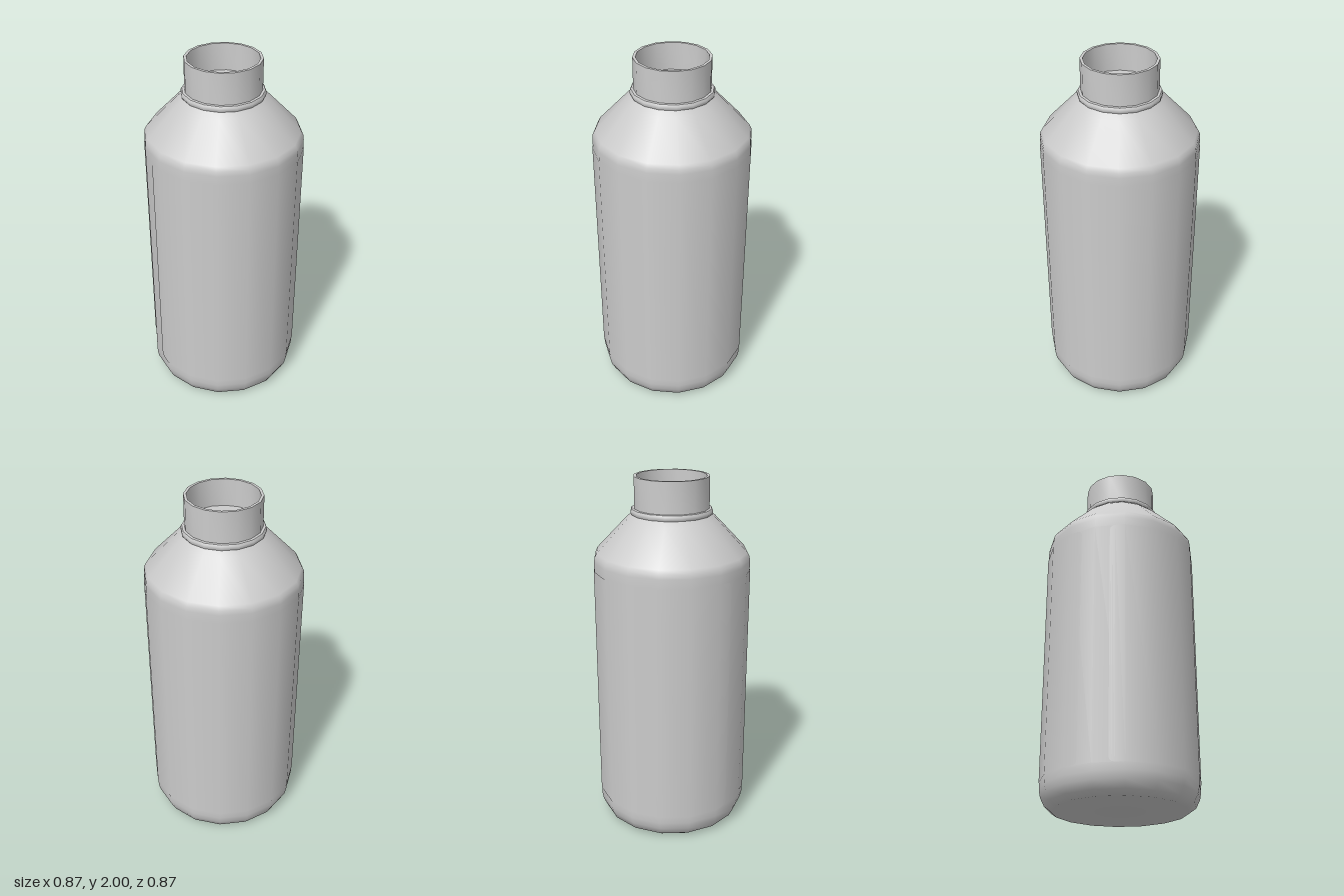
import * as THREE from 'three';
import { toCreasedNormals } from 'three/addons/utils/BufferGeometryUtils.js';

const SIDES = 16;
const STEP = (Math.PI * 2) / SIDES;
const RADIUS = 0.43;
const material = new THREE.MeshStandardMaterial({ color: 0xcccccc });
const labelMaterial = new THREE.MeshStandardMaterial({ color: 0xcccccc, side: THREE.DoubleSide });

// Sixteen-sided turned part from [radius, height] pairs, listed bottom to top outside
function turned(name, profile) {
  const points = profile.map(([r, y]) => new THREE.Vector2(r, y));
  const geometry = toCreasedNormals(new THREE.LatheGeometry(points, SIDES), 0.75);
  const mesh = new THREE.Mesh(geometry, material);
  mesh.name = name;
  return mesh;
}

// Thin sleeve lying on the body's facets, with a vertical gap and rounded corners
function wrapLabel() {
  const r = RADIUS + 0.003, bottom = 0.15, top = 1.5, corner = 0.03;
  const start = STEP * 11.5, end = start + STEP * (SIDES - 1);
  const columns = [];
  const arc = [0, 0.15, 0.5, 1];
  arc.forEach((t) => columns.push([start + (t * corner) / r, t]));
  for (let i = 12; i <= 26; i++) columns.push([i * STEP, 1]);
  arc.slice().reverse().forEach((t) => columns.push([end - (t * corner) / r, t]));

  const positions = [], normals = [], index = [];
  columns.forEach(([angle, t], i) => {
    const inset = corner * (1 - Math.sqrt(1 - (1 - t) ** 2));
    const local = angle - Math.floor(angle / STEP + 1e-6) * STEP - STEP / 2;
    const d = (r * Math.cos(STEP / 2)) / Math.cos(local);
    const s = Math.sin(angle), c = Math.cos(angle);
    positions.push(d * s, bottom + inset, d * c, d * s, top - inset, d * c);
    normals.push(s, 0, c, s, 0, c);
    const a = i * 2;
    if (i < columns.length - 1) index.push(a, a + 2, a + 1, a + 2, a + 3, a + 1);
  });
  const geometry = new THREE.BufferGeometry();
  geometry.setAttribute('position', new THREE.Float32BufferAttribute(positions, 3));
  geometry.setAttribute('normal', new THREE.Float32BufferAttribute(normals, 3));
  geometry.setIndex(index);
  const mesh = new THREE.Mesh(geometry, labelMaterial);
  mesh.name = 'label';
  return mesh;
}

export function createModel() {
  const bottle = new THREE.Group();
  bottle.name = 'bottle';

  // Base, wall and sloping shoulder
  bottle.add(turned('body', [
    [0, 0], [0.365, 0], [0.4, 0.025], [0.422, 0.07], [RADIUS, 0.11],
    [RADIUS, 0.15], [RADIUS, 1.5], [RADIUS, 1.55], [0.427, 1.575], [0.415, 1.597],
    [0.245, 1.775], [0.215, 1.8],
  ]));

  // Raised ring where the neck meets the shoulder
  bottle.add(turned('neckRing', [
    [0.2, 1.797], [0.22, 1.798], [0.224, 1.805], [0.224, 1.818], [0.218, 1.828], [0.2, 1.83],
  ]));

  // Open neck: outer wall, rim, inner wall and closed floor
  bottle.add(turned('neck', [
    [0.205, 1.8], [0.205, 2], [0.19, 2], [0.19, 1.85], [0, 1.85],
  ]));

  bottle.add(wrapLabel());
  return bottle;
}
